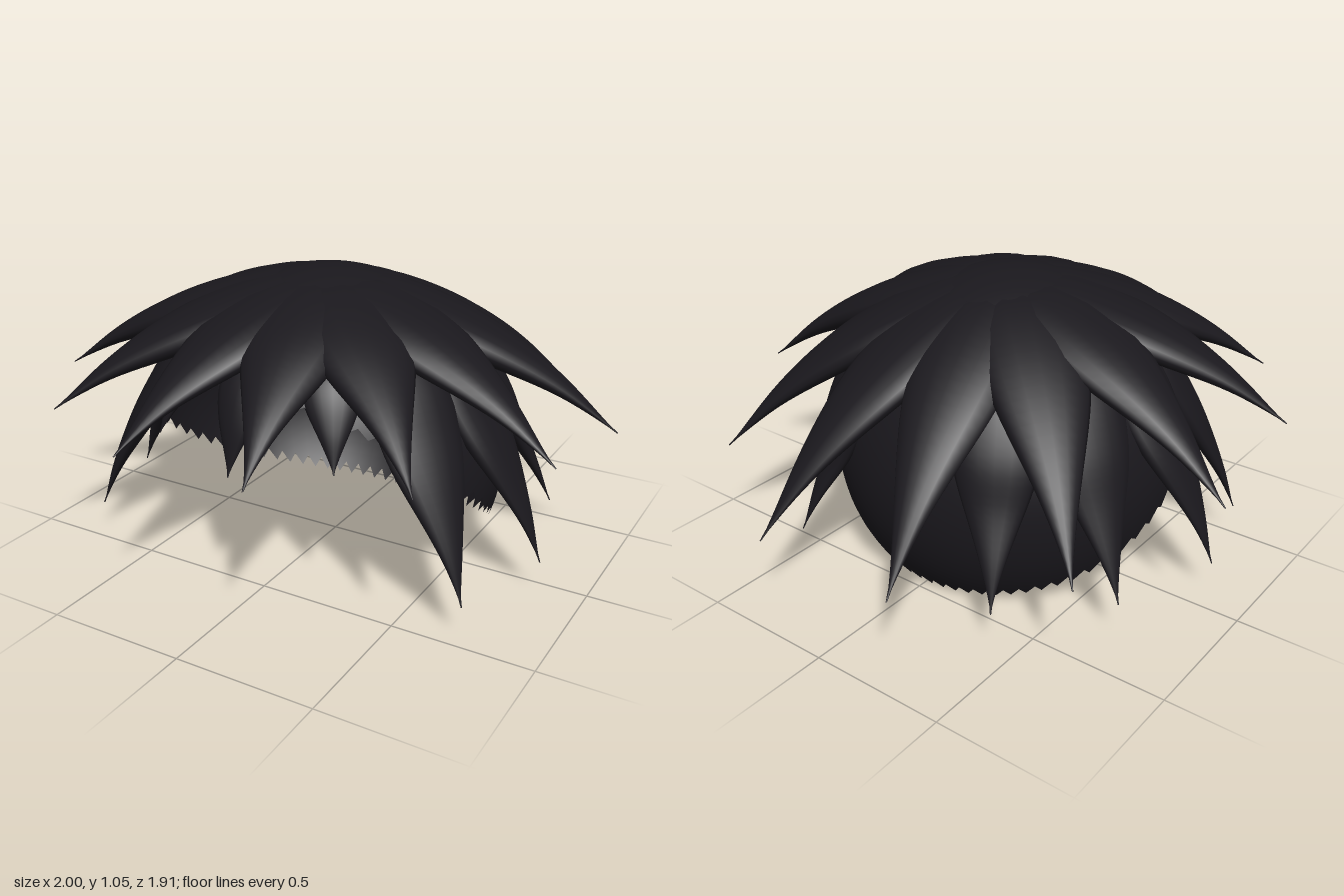
import * as THREE from 'three';

const CENTER = new THREE.Vector3(0, 0.4, 0.05);
const RADIUS = 0.648;
const SIDES = 16;
const STEPS = 28;

// Curved tapering lock in the vertical plane through the head centre.
// path: [distance from centre, height]; width(u), depth(u): half sizes along it
function lockGeometry(angle, path, width, depth) {
  const curve = new THREE.CatmullRomCurve3(path.map(([r, y]) => new THREE.Vector3(r, y, 0)));
  const out = new THREE.Vector3(Math.cos(angle), 0, Math.sin(angle));
  const side = new THREE.Vector3(out.z, 0, -out.x);
  const positions = [], index = [];
  for (let i = 0; i <= STEPS; i++) {
    const u = i / STEPS;
    const p = curve.getPointAt(u), d = curve.getTangentAt(u);
    // rounded root end
    const round = Math.max(0.02, Math.sqrt(1 - (1 - Math.min(u / 0.15, 1)) ** 2));
    const w = Math.max(width(u) * round, 0.002), t = Math.max(depth(u) * round, 0.002);
    for (let j = 0; j < SIDES; j++) {
      const a = (j / SIDES) * Math.PI * 2;
      const s = Math.cos(a) * w, n = Math.sin(a) * t;
      const r = p.x - d.y * n;
      positions.push(out.x * r + side.x * s, p.y + d.x * n, CENTER.z + out.z * r + side.z * s);
      if (i < STEPS) {
        const k = (j + 1) % SIDES, b = i * SIDES, c = b + SIDES;
        index.push(b + j, b + k, c + j, b + k, c + k, c + j);
      }
    }
  }
  const g = new THREE.BufferGeometry();
  g.setAttribute('position', new THREE.Float32BufferAttribute(positions, 3));
  g.setIndex(index);
  g.computeVertexNormals();
  return g;
}

// Open dome whose curved rim rises from the nape to the forehead
function scalpGeometry() {
  const rimHeight = (z) => (z + 0.46) * (0.323 + 0.367 * (z + 0.46));
  const g = new THREE.SphereGeometry(RADIUS, 64, 32);
  const p = g.attributes.position, uv = g.attributes.uv, normal = g.attributes.normal;
  for (let i = 0; i < p.count; i++) {
    const phi = uv.getX(i) * Math.PI * 2;
    // polar angle where this meridian meets the rim
    let lo = 0.3, hi = 2.6;
    for (let k = 0; k < 24; k++) {
      const mid = (lo + hi) / 2;
      const y = CENTER.y + RADIUS * Math.cos(mid);
      const z = CENTER.z + RADIUS * Math.sin(mid) * Math.cos(phi);
      if (y > rimHeight(z)) lo = mid; else hi = mid;
    }
    const v = new THREE.Vector3().setFromSphericalCoords(1, lo * (1 - uv.getY(i)), phi);
    normal.setXYZ(i, v.x, v.y, v.z);
    v.multiplyScalar(RADIUS).add(CENTER);
    p.setXYZ(i, v.x, v.y, v.z);
  }
  // meridians now run the other way round, so flip the faces
  const idx = g.index.array;
  for (let i = 0; i < idx.length; i += 3) [idx[i], idx[i + 1]] = [idx[i + 1], idx[i]];
  return g;
}

// Concave taper to a fine tip, softly limited to max near the root
const taper = (u, start, max, power) => {
  const v = start * Math.pow(1 - u, power);
  return v / Math.pow(1 + Math.pow(v / max, 6), 1 / 6);
};

export function createModel() {
  const model = new THREE.Group();
  const hair = new THREE.MeshStandardMaterial({ color: 0x1a181d });
  const scalpHair = new THREE.MeshStandardMaterial({ color: 0x1a181d, side: THREE.DoubleSide });

  const add = (parent, name, geometry, material) => {
    const mesh = new THREE.Mesh(geometry, material);
    mesh.name = name;
    parent.add(mesh);
  };
  const ring = (name) => {
    const g = new THREE.Group();
    g.name = name;
    model.add(g);
    return g;
  };
  // Calls build(angle, reach, height) for a tip on both sides, once if central
  const mirrored = ([x, y, z], build) => {
    for (const s of x === 0 ? [1] : [1, -1]) {
      build(Math.atan2(z - CENTER.z, s * x), Math.hypot(x, z - CENTER.z), y);
    }
  };

  add(model, 'scalp', scalpGeometry(), scalpHair);

  // Upper layer: twelve long locks sweeping out from the crown
  const upper = ring('upperLocks');
  const upperTips = [
    [0.24, 0.62, 0.95], [0.68, 0.615, 0.74], [0.96, 0.61, 0.33],
    [1.0, 0.54, -0.19], [0.76, 0.4, -0.67], [0.28, 0.32, -0.96],
  ];
  for (const tip of upperTips) {
    mirrored(tip, (angle, reach, height) => {
      const path = [0.02, 0.2, 0.4, 0.6, 0.8, 1].map((f) => [
        f * reach,
        1.042 - (1.042 - height) * Math.pow(f, 1.95) - taper(f, 0.15, 0.068, 1.1),
      ]);
      add(upper, 'upperLock', lockGeometry(angle, path,
        (u) => taper(u, 0.385, 0.19, 1.25), (u) => taper(u, 0.15, 0.066, 1.1)), hair);
    });
  }

  // Lower layer: locks hugging the scalp, then hanging down at the sides and back
  const lower = ring('lowerLocks');
  const lowerTips = [
    [0.735, 0.13, 0.475], [0.85, 0.13, 0.08], [0.73, 0.15, -0.345], [0.43, 0.15, -0.64],
  ];
  for (const tip of lowerTips) {
    mirrored(tip, (angle, reach, height) => {
      const path = [
        [0.38, 0.86], [0.5, 0.76], [0.6, 0.61], [reach - 0.15, 0.45], [reach - 0.06, 0.28], [reach, height],
      ];
      add(lower, 'lowerLock', lockGeometry(angle, path,
        (u) => taper(u, 0.32, 0.16, 1.25), (u) => taper(u, 0.11, 0.06, 1.1)), hair);
    });
  }

  // Fringe: three short locks over the forehead
  const fringe = ring('fringe');
  for (const tip of [[0, 0.5, 0.69], [0.34, 0.55, 0.6]]) {
    mirrored(tip, (angle, reach, height) => {
      const path = [[0.38, 0.86], [0.5, 0.78], [reach - 0.06, 0.67], [reach, height]];
      add(fringe, 'fringeLock', lockGeometry(angle, path,
        (u) => taper(u, 0.2, 0.11, 1.15), (u) => taper(u, 0.09, 0.06, 1.1)), hair);
    });
  }

  return model;
}
